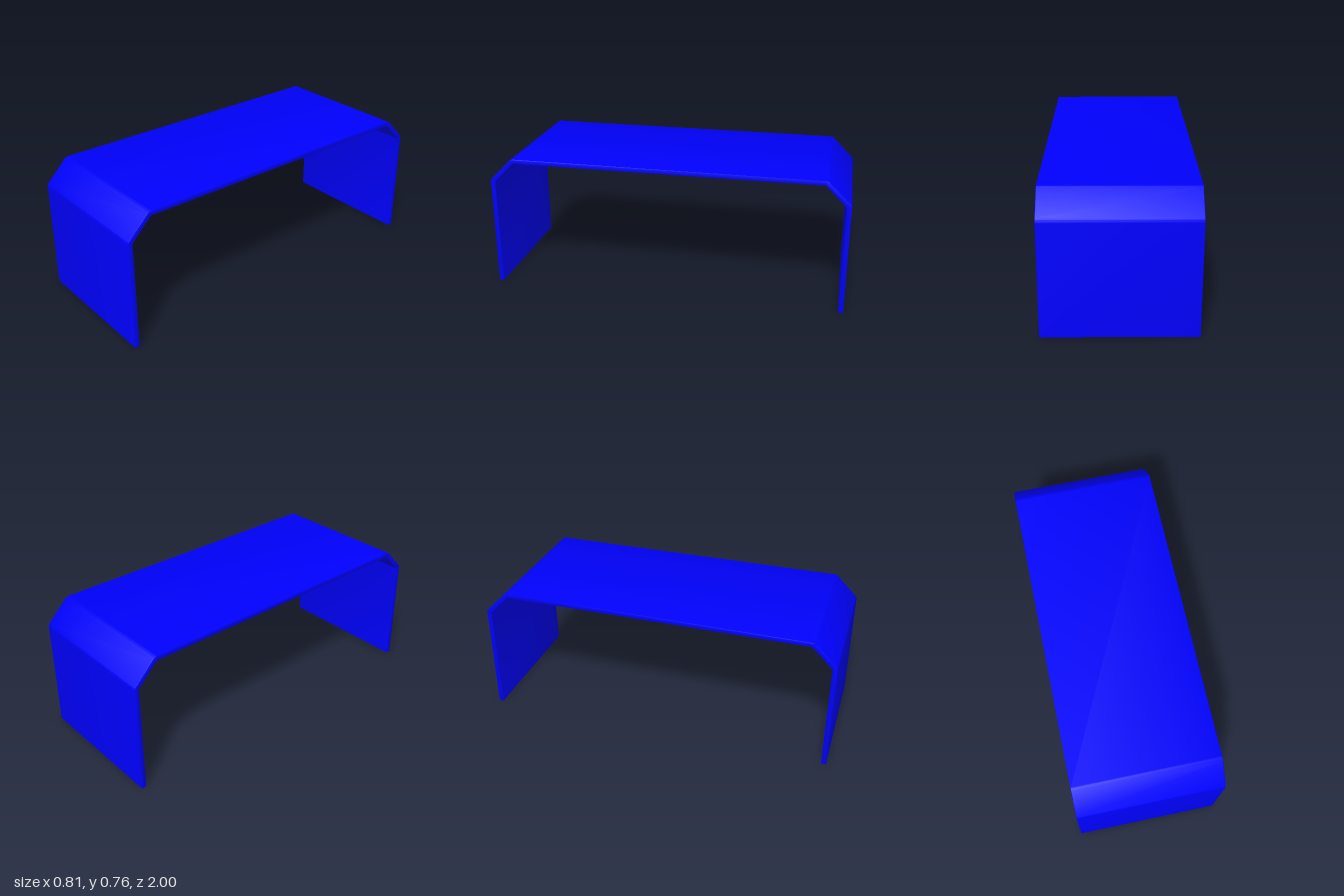
import * as THREE from 'three';
import { toCreasedNormals } from 'three/addons/utils/BufferGeometryUtils.js';

const WIDTH = 0.806, THICK = 0.027, BEVEL = 0.003;
const HEIGHT = 0.76, HALF = 1, CHAMFER = 0.13;

// Half of the bent-sheet line, from foot to top, at a given inset; both bends are eased
function halfProfile(inset, ease) {
  const shift = inset * Math.tan(Math.PI / 8);
  const foot = new THREE.Vector2(HALF - inset, 0);
  const low = new THREE.Vector2(HALF - inset, HEIGHT - CHAMFER - shift);
  const high = new THREE.Vector2(HALF - CHAMFER - shift, HEIGHT - inset);
  const mid = new THREE.Vector2(0, HEIGHT - inset);
  const bend = (a, corner, b) => {
    const start = corner.clone().add(a.clone().sub(corner).setLength(ease));
    const end = corner.clone().add(b.clone().sub(corner).setLength(ease));
    return new THREE.QuadraticBezierCurve(start, corner, end).getPoints(4);
  };
  return [foot, ...bend(foot, low, high), ...bend(low, high, mid)];
}

// Whole line from the +side foot over the top to the other foot
function fullProfile(inset, ease) {
  const half = halfProfile(inset, ease);
  const mirrored = half.map((p) => new THREE.Vector2(-p.x, p.y)).reverse();
  return [...half, ...mirrored];
}

export function createModel() {
  const group = new THREE.Group();
  group.name = 'table';

  // One bent sheet: two legs, two chamfers and the flat top
  const outline = [...fullProfile(0, 0.014), ...fullProfile(THICK, 0.006).reverse()];
  const geometry = new THREE.ExtrudeGeometry(new THREE.Shape(outline), {
    depth: WIDTH - 2 * BEVEL,
    bevelEnabled: true,
    bevelThickness: BEVEL,
    bevelSize: BEVEL,
    bevelOffset: -BEVEL,
    bevelSegments: 2,
  });
  geometry.translate(0, 0, BEVEL - WIDTH / 2);
  geometry.rotateY(Math.PI / 2);

  const material = new THREE.MeshStandardMaterial({ color: 0x0000ff });
  const sheet = new THREE.Mesh(toCreasedNormals(geometry, 0.6), material);
  sheet.name = 'bentSheet';
  group.add(sheet);
  return group;
}
